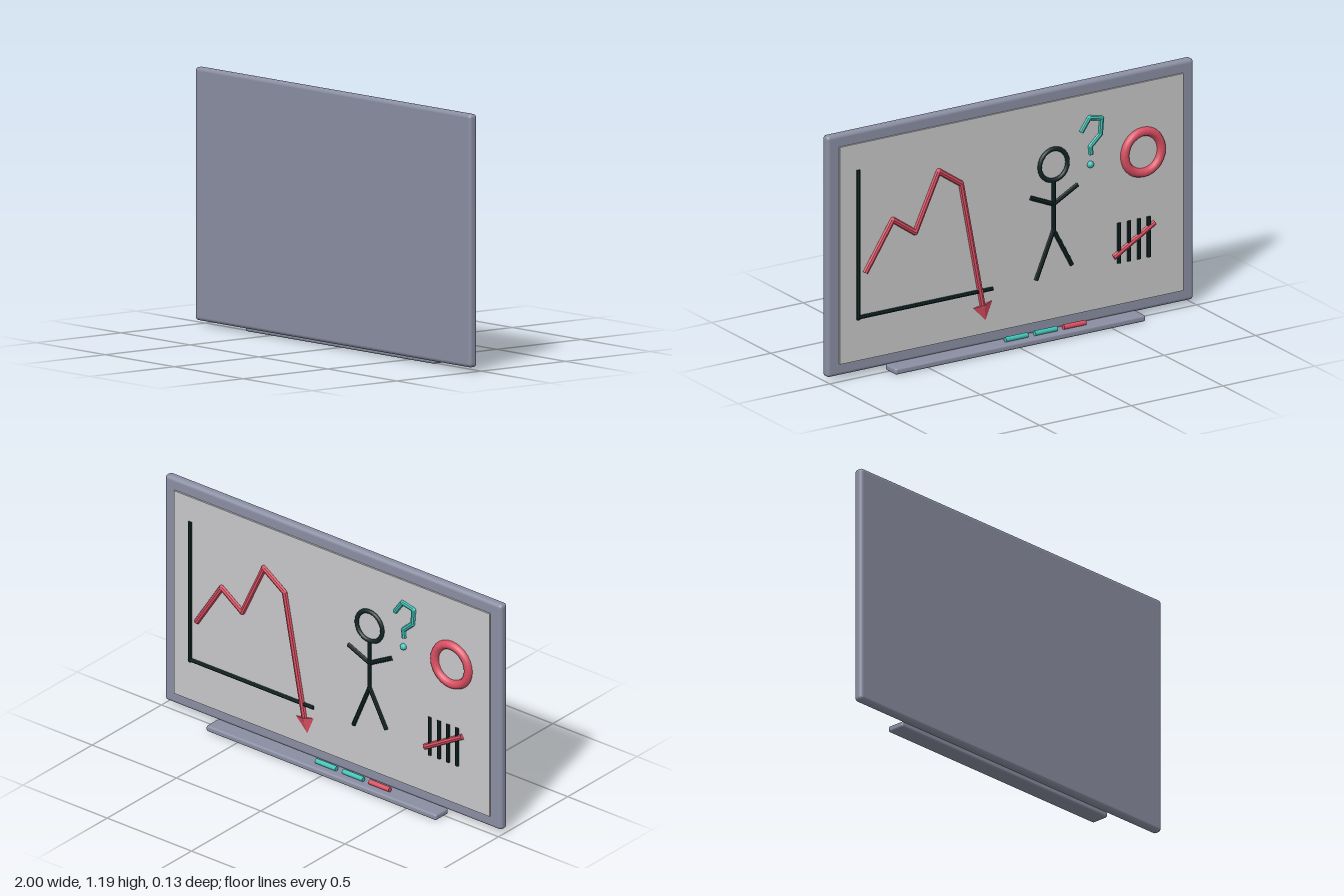
import * as THREE from 'three';
import { RoundedBoxGeometry } from 'three/addons/geometries/RoundedBoxGeometry.js';

const mat = (name, color) => {
  const m = new THREE.MeshStandardMaterial({ color });
  m.name = name;
  return m;
};

export function createModel() {
  const root = new THREE.Group();
  root.name = 'presentationBoard';
  const frameGrey = mat('frame grey', 0x8b8fa3);
  const panelWhite = mat('panel white', 0xc8c8ca);
  const inkBlack = mat('ink black', 0x122626);
  const inkRed = mat('ink red', 0xdc5064);
  const inkTeal = mat('ink teal', 0x40c4b8);
  const Z = 0.011; // depth of the drawn lines, on the back face of the panel

  const group = (name) => {
    const g = new THREE.Group();
    g.name = name;
    root.add(g);
    return g;
  };
  const add = (parent, name, geo, material, x, y, z) => {
    const mesh = new THREE.Mesh(geo, material);
    mesh.name = name;
    mesh.position.set(x, y, z);
    parent.add(mesh);
    return mesh;
  };
  const faceted = (geo) => {
    const flat = geo.toNonIndexed();
    flat.computeVertexNormals();
    return flat;
  };
  // Straight faceted stroke between two points on the panel
  const stroke = (parent, name, a, b, r, material) => {
    const dir = new THREE.Vector3(b[0] - a[0], b[1] - a[1], 0);
    const geo = faceted(new THREE.CylinderGeometry(r, r, dir.length(), 8));
    const mesh = add(parent, name, geo, material, (a[0] + b[0]) / 2, (a[1] + b[1]) / 2, Z);
    mesh.quaternion.setFromUnitVectors(new THREE.Vector3(0, 1, 0), dir.normalize());
  };
  const polyline = (parent, name, pts, r, material) => {
    for (let i = 1; i < pts.length; i++) {
      stroke(parent, name, pts[i - 1], pts[i], r, material);
      // Small ball closes each inner corner
      if (i < pts.length - 1) {
        add(parent, name + 'Joint', new THREE.SphereGeometry(r * 0.97, 8, 6), material, pts[i][0], pts[i][1], Z);
      }
    }
  };

  // Board and tray
  add(root, 'frame', new RoundedBoxGeometry(2, 1.173, 0.047, 3, 0.018), frameGrey, 0, 0.6085, 0.0435);
  add(root, 'panel', new THREE.BoxGeometry(1.872, 1.056, 0.012), panelWhite, 0, 0.608, 0.018);
  add(root, 'tray', new RoundedBoxGeometry(1.365, 0.03, 0.092, 2, 0.01), frameGrey, 0, 0.017, -0.02);

  // Marker pens lying in the tray
  [[-0.317, inkRed], [-0.16, inkTeal], [0, inkTeal]].forEach(([x, material]) => {
    const pen = add(root, 'marker', new THREE.CylinderGeometry(0.012, 0.012, 0.12, 12), material, x, 0.044, -0.025);
    pen.rotation.z = Math.PI / 2;
  });

  // Chart: axes, falling line and arrowhead
  const chart = group('chart');
  stroke(chart, 'verticalAxis', [0.838, 0.28], [0.838, 1.008], 0.01, inkBlack);
  stroke(chart, 'horizontalAxis', [0.845, 0.29], [0.105, 0.29], 0.01, inkBlack);
  polyline(chart, 'trendLine',
    [[0.8, 0.5], [0.65, 0.73], [0.528, 0.645], [0.4, 0.918], [0.277, 0.834], [0.158, 0.21]], 0.014, inkRed);
  const head = add(chart, 'arrowHead', faceted(new THREE.ConeGeometry(0.053, 0.08, 4)), inkRed, 0.151, 0.184, Z);
  head.scale.z = 0.3;
  head.rotation.z = Math.PI - 0.19;

  // Stick figure
  const figure = group('stickFigure');
  add(figure, 'head', new THREE.TorusGeometry(0.076, 0.011, 8, 24), inkBlack, -0.227, 0.83, Z);
  const limbs = {
    body: [[-0.227, 0.75], [-0.227, 0.505]],
    leftArm: [[-0.227, 0.638], [-0.1, 0.692]],
    rightArm: [[-0.227, 0.638], [-0.358, 0.708]],
    leftLeg: [[-0.227, 0.512], [-0.131, 0.285]],
    rightLeg: [[-0.227, 0.512], [-0.327, 0.325]],
  };
  for (const [name, [a, b]] of Object.entries(limbs)) stroke(figure, name, a, b, 0.011, inkBlack);

  // Query hook and dot
  const query = group('queryMark');
  polyline(query, 'hook',
    [[-0.377, 0.957], [-0.422, 1.02], [-0.489, 1.005], [-0.483, 0.93], [-0.428, 0.88], [-0.432, 0.84]], 0.012, inkTeal);
  add(query, 'dot', new THREE.SphereGeometry(0.017, 12, 8), inkTeal, -0.428, 0.792, Z);

  // Red ring
  add(root, 'ring', new THREE.TorusGeometry(0.1, 0.022, 8, 28), inkRed, -0.714, 0.797, Z);

  // Tally marks with a slash across them
  const tally = group('tally');
  for (let i = 0; i < 4; i++) {
    const x = -0.584 - i * 0.054;
    stroke(tally, 'tallyMark', [x, 0.282], [x, 0.478], 0.01, inkBlack);
  }
  stroke(tally, 'tallySlash', [-0.555, 0.315], [-0.778, 0.443], 0.014, inkRed);

  return root;
}
